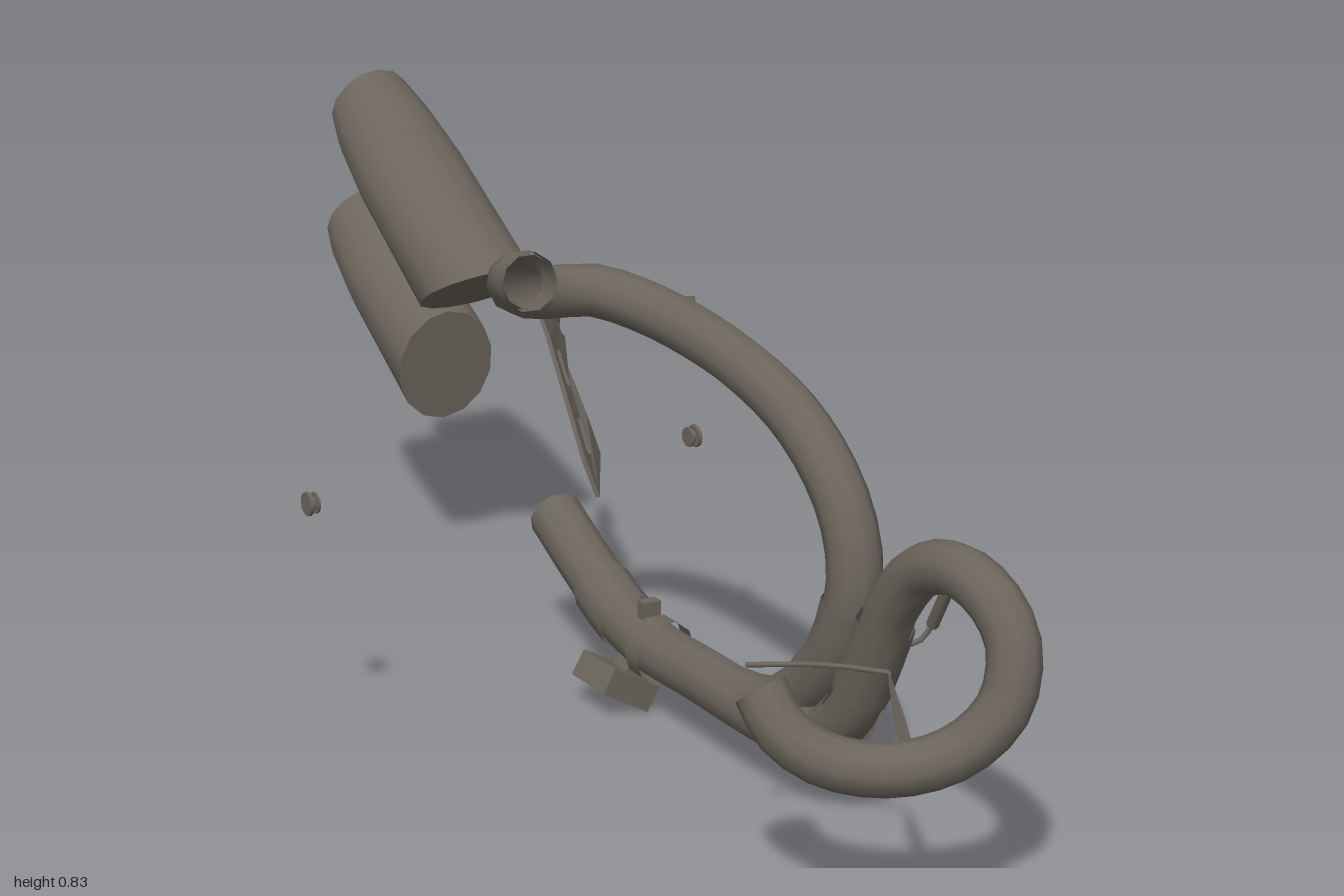
import * as THREE from 'three';
import { toCreasedNormals } from 'three/addons/utils/BufferGeometryUtils.js';

export function createModel() {
  const model = new THREE.Group();
  const metal = new THREE.MeshStandardMaterial({ color: 0x6b655c, side: THREE.DoubleSide });
  metal.name = 'weathered metal';

  const add = (name, geometry, parent = model) => {
    const mesh = new THREE.Mesh(geometry, metal);
    mesh.name = name;
    parent.add(mesh);
    return mesh;
  };
  const curve = (pts) => new THREE.CatmullRomCurve3(pts.map((p) => new THREE.Vector3(...p)));
  const tube = (name, path, r, segments, sides = 10) =>
    add(name, new THREE.TubeGeometry(path, segments, r, sides));
  // Sleeve hugging a stretch of a pipe
  const sleeve = (name, path, a, b, r) => {
    const pts = [0, 0.33, 0.67, 1].map((k) => path.getPointAt(a + (b - a) * k));
    return tube(name, new THREE.CatmullRomCurve3(pts), r, 4);
  };
  const box = (name, size, pos, rot = [0, 0, 0]) => {
    const mesh = add(name, new THREE.BoxGeometry(...size));
    mesh.position.set(...pos);
    mesh.rotation.set(...rot);
    return mesh;
  };

  // Header pipes and collector
  const rearPath = curve([
    [-0.06, 0.72, 0.14], [-0.05, 0.71, 0.08], [-0.01, 0.675, 0.025], [0.05, 0.66, 0.01],
    [0.11, 0.66, 0.025], [0.16, 0.645, 0.1], [0.19, 0.61, 0.3], [0.205, 0.55, 0.45],
    [0.21, 0.46, 0.55], [0.21, 0.37, 0.583], [0.205, 0.27, 0.565], [0.2, 0.18, 0.5],
    [0.19, 0.12, 0.42], [0.185, 0.1, 0.3]]);
  const frontPath = curve([
    [-0.06, 0.31, 0.755], [-0.05, 0.265, 0.79], [-0.01, 0.23, 0.835], [0.06, 0.222, 0.89],
    [0.13, 0.25, 0.935], [0.18, 0.31, 0.96], [0.2, 0.385, 0.95], [0.198, 0.435, 0.91],
    [0.192, 0.458, 0.84], [0.188, 0.435, 0.765], [0.185, 0.37, 0.71], [0.185, 0.28, 0.67],
    [0.185, 0.18, 0.62], [0.185, 0.12, 0.56]]);
  const collectorPath = curve([
    [0.185, 0.17, 0.615], [0.185, 0.12, 0.56], [0.185, 0.1, 0.45], [0.185, 0.1, 0.25],
    [0.185, 0.1, 0.1], [0.19, 0.115, 0], [0.2, 0.155, -0.12], [0.205, 0.21, -0.24]]);
  tube('rearHeaderPipe', rearPath, 0.04, 36);
  tube('frontHeaderPipe', frontPath, 0.037, 36);
  tube('collectorPipe', collectorPath, 0.044, 24);

  // Slip joints and clamps
  sleeve('rearPipeSleeve', rearPath, 0.72, 0.83, 0.044);
  sleeve('frontPipeSleeve', frontPath, 0.76, 0.88, 0.042);
  sleeve('collectorClamp', collectorPath, 0.56, 0.6, 0.052);
  sleeve('tailPipeSleeve', collectorPath, 0.69, 0.8, 0.049);

  // Flange lip at the cylinder end of the rear header
  sleeve('flangeLip', rearPath, 0, 0.02, 0.044);

  // Retaining springs with hooked ends
  const springs = [
    [[0.22, 0.41, 0.73], [0.255, 0.41, 0.735], [0.265, 0.385, 0.725], [0.27, 0.315, 0.685],
      [0.255, 0.29, 0.675], [0.22, 0.29, 0.67]],
    [[0.23, 0.28, 0.57], [0.27, 0.285, 0.575], [0.278, 0.26, 0.565], [0.275, 0.175, 0.51],
      [0.262, 0.15, 0.495], [0.23, 0.15, 0.49]]];
  for (const pts of springs) {
    tube('springHook', curve(pts), 0.004, 16, 6);
    tube('springCoil', curve([pts[2], pts[3]]), 0.009, 2, 8);
  }

  // Tabs on the rear header
  box('pipeTab', [0.02, 0.05, 0.015], [0.225, 0.575, 0.36], [-0.25, 0, 0]);
  box('pipeTab', [0.02, 0.035, 0.02], [0.215, 0.61, 0.23], [-0.2, 0, 0]);
  box('pipeTab', [0.02, 0.05, 0.015], [0.205, 0.64, 0.15], [-0.2, 0, 0]);

  // Lower mounting block, its strap and the clamp bolt
  box('mountBlock', [0.092, 0.043, 0.095], [0.135, 0.0417, 0.07], [0, 0, -0.52]);
  box('mountStrap', [0.03, 0.06, 0.04], [0.165, 0.07, 0.07], [0, 0, -0.52]);
  box('clampBolt', [0.035, 0.022, 0.018], [0.225, 0.07, -0.08], [0, 0, 0.6]);
  box('clampBolt', [0.03, 0.03, 0.02], [0.185, 0.155, 0.085]);

  // Thin stay beside the front header
  tube('stayRod', curve([[0, 0.29, 0.63], [0.07, 0.304, 0.71], [0.115, 0.315, 0.8]]), 0.004, 6, 6);
  const stay = new THREE.BufferGeometry();
  stay.setAttribute('position', new THREE.Float32BufferAttribute([
    0.12, 0.315, 0.79, 0.105, 0.31, 0.81, 0.09, 0.26, 0.85, 0.115, 0.26, 0.84,
    0.09, 0.185, 0.89, 0.115, 0.19, 0.88], 3));
  stay.setIndex([0, 1, 2, 0, 2, 3, 3, 2, 4, 3, 4, 5]);
  stay.computeVertexNormals();
  add('stayPlate', stay);

  // Mufflers: oval rings lofted between a slanted mouth and a recessed outlet.
  // Corners are [z, y] of the top and bottom edges at the front and the rear.
  const muffler = (name, [tf, bf, tr, br], wide, narrow) => {
    const n = 14, cx = 0.22, pos = [], idx = [];
    const mid = wide * 0.6 + narrow * 0.4;
    const rings = [ // along, half width, scale
      [0, wide, 0], [0, wide, 1], [0.3, wide, 1], [0.6, wide, 1], [0.85, mid, 1],
      [1, narrow, 1], [1, narrow, 0.72], [0.87, narrow, 0.5], [0.87, narrow, 0]];
    const mix = (a, b, s) => a.map((v, i) => v + (b[i] - v) * s);
    rings.forEach(([s, w, k], r) => {
      const top = mix(tf, tr, s), low = mix(bf, br, s);
      for (let i = 0; i < n; i++) {
        const t = (i / n) * Math.PI * 2, c = Math.cos(t) * k / 2;
        pos.push(cx + w * k * Math.sin(t),
          (top[1] + low[1]) / 2 + (top[1] - low[1]) * c,
          (top[0] + low[0]) / 2 + (top[0] - low[0]) * c);
        if (r) {
          const a = (r - 1) * n + i, b = (r - 1) * n + (i + 1) % n;
          idx.push(a, a + n, b, b, a + n, b + n);
        }
      }
    });
    const g = new THREE.BufferGeometry();
    g.setAttribute('position', new THREE.Float32BufferAttribute(pos, 3));
    g.setIndex(idx);
    add(name, toCreasedNormals(g, 0.6));
  };
  muffler('upperMuffler', [[-0.435, 0.57], [-0.62, 0.465], [-0.88, 0.83], [-0.96, 0.7]], 0.098, 0.07);
  muffler('lowerMuffler', [[-0.63, 0.455], [-0.65, 0.26], [-0.92, 0.61], [-0.995, 0.49]], 0.09, 0.065);

  // Heat shield: slotted plate in the z-y plane, bent outward across its width
  const shape = new THREE.Shape([
    [-0.2, 0.24], [-0.22, 0.3], [-0.335, 0.475], [-0.36, 0.505], [-0.46, 0.495], [-0.475, 0.48],
    [-0.475, 0.44], [-0.35, 0.335], [-0.32, 0.27]].map((p) => new THREE.Vector2(...p)));
  const hole = (z, y, length, r) => {
    const path = new THREE.Path(), lean = Math.atan2(0.826, -0.565);
    const dz = Math.cos(lean) * length / 2, dy = Math.sin(lean) * length / 2;
    path.absarc(z + dz, y + dy, r, lean - Math.PI / 2, lean + Math.PI / 2);
    path.absarc(z - dz, y - dy, r, lean + Math.PI / 2, lean + Math.PI * 1.5);
    path.closePath();
    shape.holes.push(path);
  };
  hole(-0.341, 0.423, 0.05, 0.01);
  hole(-0.275, 0.324, 0.05, 0.01);
  hole(-0.442, 0.457, 0.002, 0.014);
  const plate = new THREE.ExtrudeGeometry(shape, { depth: 0.008, bevelEnabled: false, curveSegments: 5 });
  const p = plate.attributes.position;
  for (let i = 0; i < p.count; i++) {
    const z = p.getX(i), y = p.getY(i), depth = p.getZ(i);
    const across = -0.826 * (z + 0.22) - 0.565 * (y - 0.3);
    p.setXYZ(i, 0.243 + 0.088 * THREE.MathUtils.clamp(across / 0.1, 0, 1) + depth, y, z);
  }
  // Swapping x and z mirrors the plate, so turn its corners back
  for (let i = 0; i < p.count; i += 3) {
    const b = [p.getX(i + 1), p.getY(i + 1), p.getZ(i + 1)];
    p.setXYZ(i + 1, p.getX(i + 2), p.getY(i + 2), p.getZ(i + 2));
    p.setXYZ(i + 2, ...b);
  }
  plate.computeVertexNormals();
  add('heatShield', plate);

  // Pair of loose side bolts
  for (const side of [-1, 1]) {
    const bolt = new THREE.Group();
    bolt.name = 'sideBolt';
    [[0.018, 0.006, 0.337], [0.01, 0.008, 0.331], [0.016, 0.004, 0.325]].forEach(([r, h, x]) => {
      const disc = add('boltDisc', new THREE.CylinderGeometry(r, r, h, 10), bolt);
      disc.rotation.z = Math.PI / 2;
      disc.position.set(side * x, 0.38, -0.03);
    });
    model.add(bolt);
  }
  return model;
}
